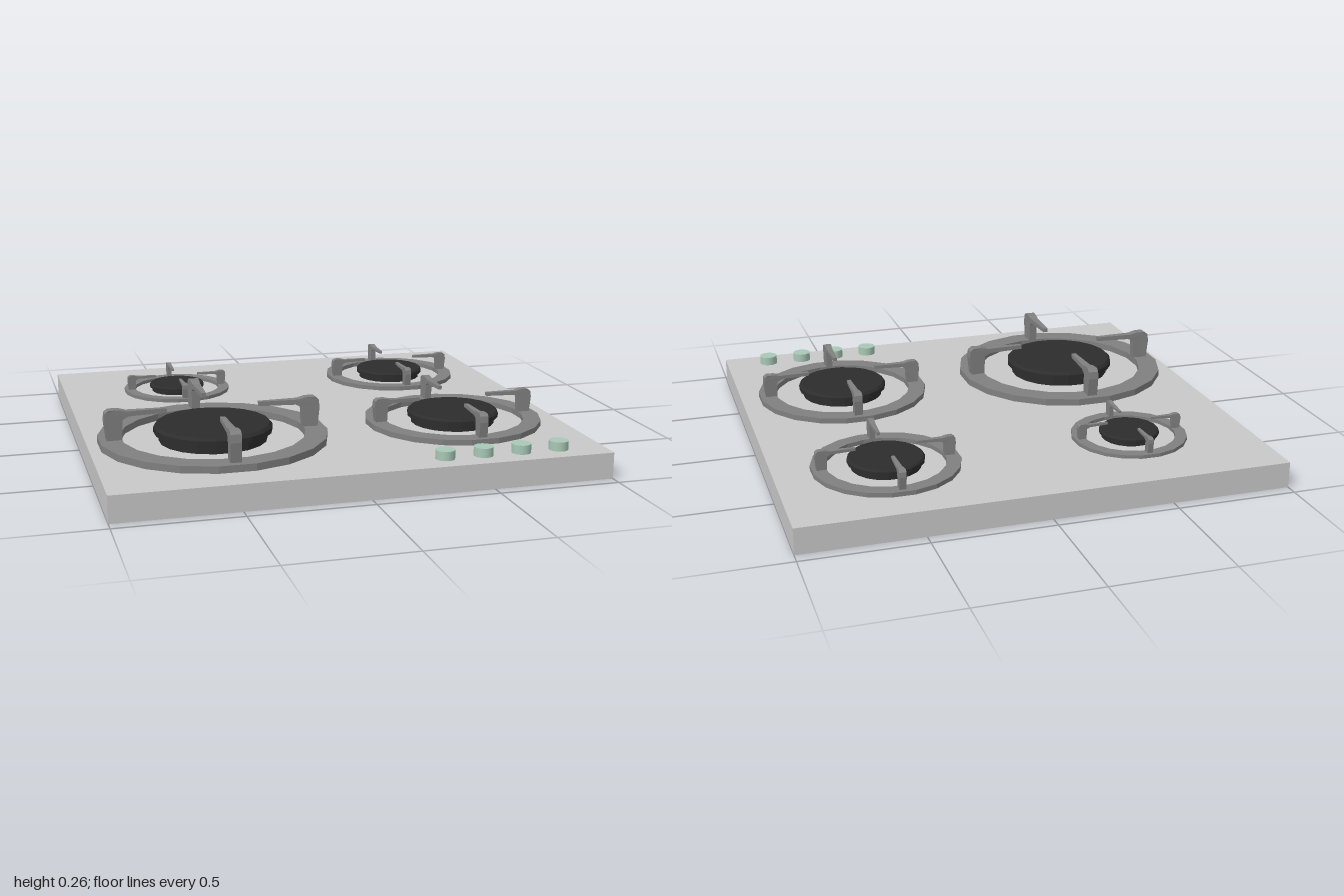
import * as THREE from 'three';

const steel = new THREE.MeshStandardMaterial({ name: 'steel', color: 0xc8c8c8, side: THREE.DoubleSide });
const iron = new THREE.MeshStandardMaterial({ name: 'castIron', color: 0x808080, flatShading: true });
const black = new THREE.MeshStandardMaterial({ name: 'blackEnamel', color: 0x2d2d2d, flatShading: true });
const green = new THREE.MeshStandardMaterial({ name: 'paleGreen', color: 0xa8c8b6 });

const TOP = 0.108;
const SIDES = 20;
const HALF = Math.PI / SIDES;
const v2 = ([x, y]) => new THREE.Vector2(x, y);

function add(parent, name, geometry, material, x = 0, y = 0, z = 0) {
  const mesh = new THREE.Mesh(geometry, material);
  mesh.name = name;
  mesh.position.set(x, y, z);
  parent.add(mesh);
  return mesh;
}

// Sheet-metal tray, open underneath
function trayGeometry() {
  const g = new THREE.BoxGeometry(2, TOP, 1.9);
  const index = Array.from(g.index.array);
  index.splice(18, 6); // drop the bottom face
  g.setIndex(index);
  g.clearGroups();
  return g;
}

// Pan support: upright post with an arm tapering towards the burner
function supportGeometry() {
  const profile = [
    [0.435, 0.02], [0.445, 0.11], [0.441, 0.142], [0.425, 0.154], [0.385, 0.154], [0.355, 0.146],
    [0.19, 0.146], [0.19, 0.128], [0.345, 0.125], [0.37, 0.112], [0.374, 0.02],
  ].map(v2);
  const g = new THREE.ExtrudeGeometry(new THREE.Shape(profile), { depth: 2, bevelEnabled: false });
  g.translate(0, 0, -1);
  const p = g.attributes.position;
  for (let i = 0; i < p.count; i++) {
    const r = p.getX(i);
    const halfWidth = r > 0.42 ? 0.022 : THREE.MathUtils.mapLinear(r, 0.19, 0.42, 0.01, 0.02);
    p.setZ(i, p.getZ(i) * halfWidth);
  }
  g.computeVertexNormals();
  return g;
}

const ringGeometry = new THREE.LatheGeometry(
  [[0.378, 0.001], [0.47, 0.001], [0.47, 0.03], [0.378, 0.03], [0.378, 0.001]].map(v2), SIDES, HALF);
const baseGeometry = new THREE.CylinderGeometry(0.222, 0.222, 0.042, SIDES, 1, false, HALF);
const capGeometry = new THREE.LatheGeometry(
  [[0, 0.038], [0.243, 0.038], [0.243, 0.06], [0.232, 0.072], [0, 0.072]].map(v2), SIDES, HALF);
const armGeometry = supportGeometry();

function burner(name, x, z, radius) {
  const group = new THREE.Group();
  group.name = name;
  add(group, 'supportRing', ringGeometry, iron);
  add(group, 'burnerBase', baseGeometry, black, 0, 0.023, 0);
  add(group, 'burnerCap', capGeometry, black);
  for (let i = 0; i < 4; i++) {
    add(group, 'panSupport', armGeometry, iron).rotation.y = i * Math.PI / 2;
  }
  group.scale.setScalar(radius / 0.465);
  group.position.set(x, TOP, z);
  return group;
}

export function createModel() {
  const model = new THREE.Group();
  model.name = 'gasHob';
  add(model, 'tray', trayGeometry(), steel, 0, TOP / 2, 0);

  model.add(
    burner('largeBurner', -0.49, 0.345, 0.465),
    burner('mediumBurner', 0.55, 0.345, 0.37),
    burner('smallBurner', 0.55, -0.505, 0.298),
    burner('simmerBurner', -0.49, -0.505, 0.239),
  );

  // Control knobs
  const knob = new THREE.CylinderGeometry(0.039, 0.039, 0.037, 24);
  for (let i = 0; i < 4; i++) {
    add(model, 'knob', knob, green, 0.327 + i * 0.16, TOP + 0.0195, 0.848);
  }
  return model;
}
